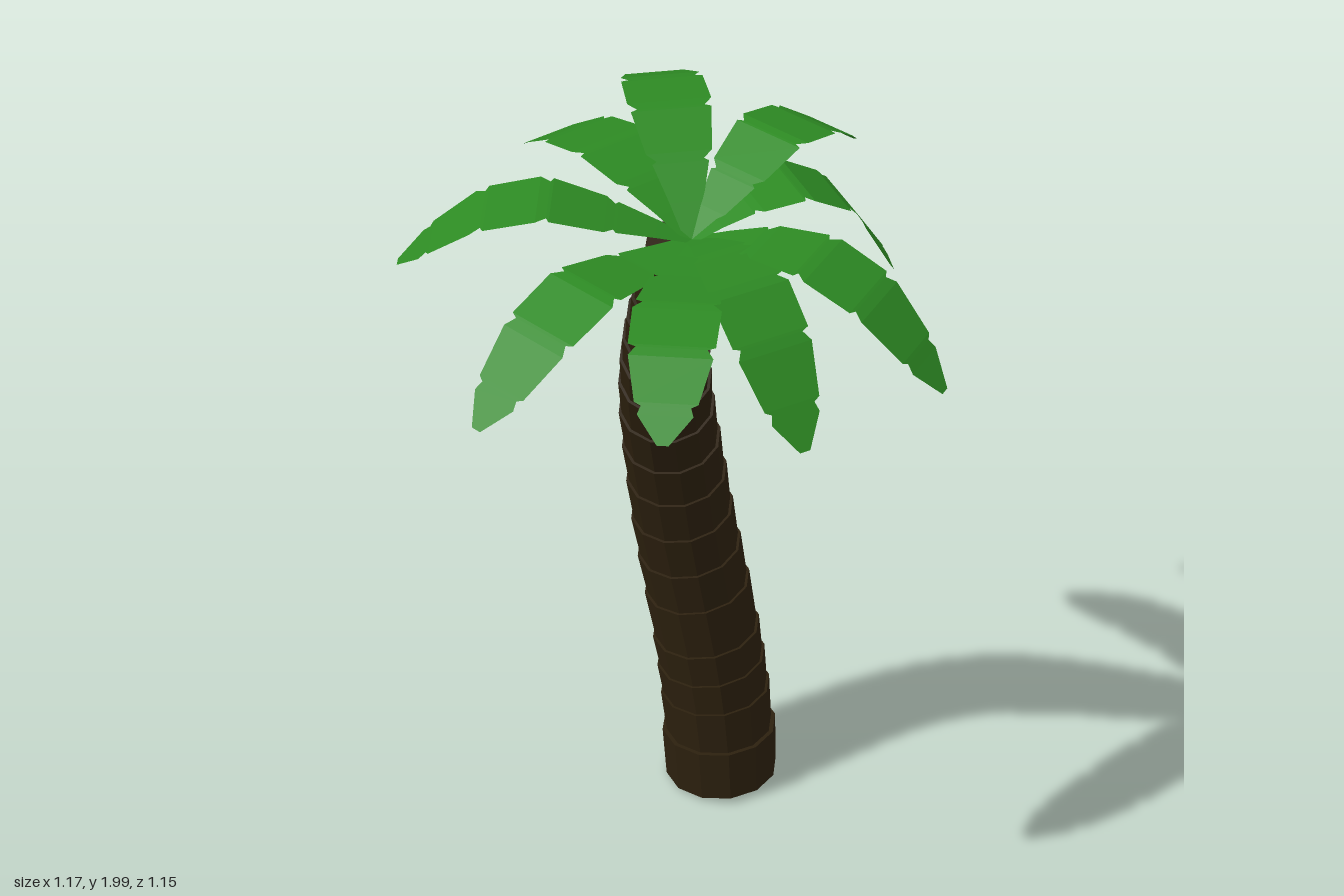
import * as THREE from 'three';

const bark = new THREE.MeshStandardMaterial({ color: 0x2c200e });
bark.name = 'darkBark';
bark.flatShading = true;
const green = new THREE.MeshStandardMaterial({ color: 0x2d8a23 });
green.name = 'leafGreen';
green.flatShading = true;
green.side = THREE.DoubleSide;

// Trunk centre line, one [x, z] every 0.2 in height
const TRUNK = [[-0.08, -0.425], [-0.093, -0.43], [-0.115, -0.425], [-0.142, -0.41], [-0.163, -0.38],
  [-0.17, -0.338], [-0.163, -0.272], [-0.132, -0.185], [-0.082, -0.09], [-0.027, -0.004]];
// Heights of the trunk ring joints
const JOINTS = [0.014, 0.15, 0.27, 0.36, 0.45, 0.59, 0.71, 0.83, 0.95, 1.07, 1.19, 1.3, 1.39, 1.47, 1.55, 1.63, 1.71, 1.8];

// Fronds: tip x, tip z, heights at 1/4, 1/2, 3/4 and the tip
const FRONDS = [
  [0.58, 0.07, 1.87, 1.87, 1.80, 1.635],
  [0.36, 0.305, 1.87, 1.845, 1.75, 1.585],
  [0.155, 0.575, 1.84, 1.86, 1.83, 1.73],
  [-0.25, 0.565, 1.84, 1.855, 1.79, 1.66],
  [-0.585, 0.195, 1.88, 1.92, 1.88, 1.76],
  [-0.49, -0.31, 1.90, 1.93, 1.89, 1.79],
  [-0.285, -0.495, 1.93, 1.99, 1.98, 1.90],
  [0.185, -0.475, 1.92, 1.98, 1.95, 1.85],
  [0.34, -0.315, 1.90, 1.92, 1.85, 1.65],
];
// Frond outline: [distance along, half width], notched between leaflets
const OUTLINE = [[0, 0.015], [0.12, 0.036], [0.25, 0.06], [0.26, 0.05], [0.29, 0.07], [0.47, 0.086], [0.48, 0.072],
  [0.515, 0.09], [0.69, 0.088], [0.7, 0.072], [0.735, 0.085], [0.88, 0.064], [0.89, 0.05], [0.915, 0.056], [1, 0.012]];

function makeTrunk() {
  const trunk = new THREE.Group();
  trunk.name = 'trunk';
  const curve = new THREE.CatmullRomCurve3(TRUNK.map(([x, z], i) => new THREE.Vector3(x, i * 0.2, z)));
  const radius = (y) => 0.135 - 0.02 * y - 0.0028 * y ** 4;
  for (let i = 0; i < JOINTS.length - 1; i++) {
    const a = curve.getPoint(JOINTS[i] / 1.8);
    const b = curve.getPoint(JOINTS[i + 1] / 1.8);
    const dir = b.clone().sub(a);
    const length = dir.length() + (i ? 0.015 : 0);
    dir.normalize();
    // each ring flares slightly towards its top, the base ring is widest
    const flare = i === 0 ? 0.009 : 0.005;
    const ring = new THREE.Mesh(
      new THREE.CylinderGeometry(radius(b.y) + flare, radius(a.y) + (i ? -0.002 : 0.003), length, 12), bark);
    ring.name = 'trunkRing';
    ring.position.copy(b).addScaledVector(dir, -length / 2);
    ring.quaternion.setFromUnitVectors(new THREE.Vector3(0, 1, 0), dir);
    trunk.add(ring);
  }
  return trunk;
}

function makeFrond([tx, tz, ...heights]) {
  const spine = new THREE.CatmullRomCurve3([1.83, ...heights].map(
    (y, i) => new THREE.Vector3(tx * i / 4, y, tz * i / 4)));
  const side = new THREE.Vector3(tz, 0, -tx).normalize();
  const positions = [];
  const index = [];
  OUTLINE.forEach(([t, w], i) => {
    const p = spine.getPoint(t);
    for (const s of [-1, 1]) {
      const q = p.clone().addScaledVector(side, s * w);
      positions.push(q.x, q.y, q.z);
    }
    if (i) {
      const k = 2 * i;
      index.push(k - 2, k - 1, k, k - 1, k + 1, k);
    }
  });
  const geometry = new THREE.BufferGeometry();
  geometry.setAttribute('position', new THREE.Float32BufferAttribute(positions, 3));
  geometry.setIndex(index);
  geometry.computeVertexNormals();
  const frond = new THREE.Mesh(geometry, green);
  frond.name = 'frond';
  return frond;
}

export function createModel() {
  const model = new THREE.Group();
  model.name = 'palmTree';
  model.add(makeTrunk());
  const crown = new THREE.Group();
  crown.name = 'crown';
  FRONDS.forEach((f) => crown.add(makeFrond(f)));
  model.add(crown);
  return model;
}
